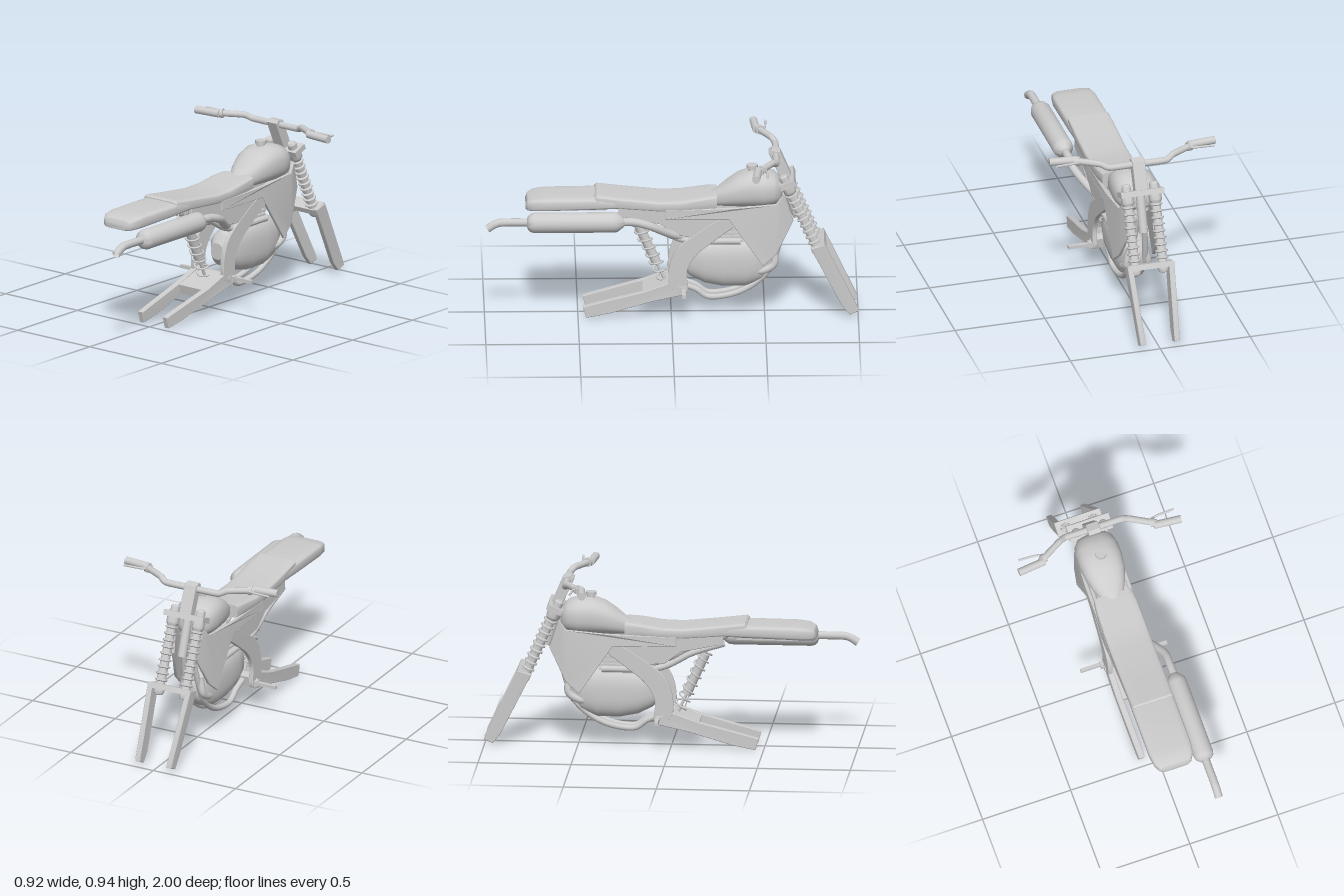
import * as THREE from 'three';
import { toCreasedNormals } from 'three/addons/utils/BufferGeometryUtils.js';

const mat = new THREE.MeshStandardMaterial({ color: 0xcccccc, side: THREE.DoubleSide });
const V = (x, y, z) => new THREE.Vector3(x, y, z);

export function createModel() {
  const model = new THREE.Group();

  const add = (name, geo, parent = model) => {
    const m = new THREE.Mesh(geo, mat);
    m.name = name;
    parent.add(m);
    return m;
  };
  const box = (name, w, h, d, x, y, z, rx = 0, parent = model) => {
    const m = add(name, new THREE.BoxGeometry(w, h, d), parent);
    m.position.set(x, y, z);
    m.rotation.x = rx;
    return m;
  };
  const tube = (name, pts, r, seg = 40, tension = 0.5, parent = model) =>
    add(name, new THREE.TubeGeometry(
      new THREE.CatmullRomCurve3(pts.map(p => V(...p)), false, 'catmullrom', tension), seg, r, 12), parent);
  // straight cylinder between two points
  const rod = (name, a, b, r1, r2 = r1, parent = model) => {
    const p = V(...a), q = V(...b);
    const m = add(name, new THREE.CylinderGeometry(r2, r1, p.distanceTo(q), 20), parent);
    m.position.copy(p).add(q).multiplyScalar(0.5);
    m.quaternion.setFromUnitVectors(V(0, 1, 0), q.sub(p).normalize());
    return m;
  };
  // side profile [z, y] extruded from x0 to x1; shift moves vertices in x by a rule
  const plate = (name, pts, x0, x1, side, shift = () => 0, curved = false) => {
    const p2 = pts.map(([z, y]) => new THREE.Vector2(-z, y));
    const outline = curved ? new THREE.CatmullRomCurve3(p2.map(p => V(p.x, p.y, 0)), true)
      .getPoints(60).map(p => new THREE.Vector2(p.x, p.y)) : p2;
    const g = new THREE.ExtrudeGeometry(new THREE.Shape(outline), {
      depth: x1 - x0 - 0.006, bevelEnabled: true, bevelSize: 0.003, bevelThickness: 0.003, bevelSegments: 1,
    });
    g.rotateY(Math.PI / 2).translate(x0 + 0.003, 0, 0);
    const a = g.attributes.position;
    for (let i = 0; i < a.count; i++) a.setX(i, a.getX(i) + shift(a.getZ(i), a.getY(i)));
    if (side < 0) {
      g.translate(-(x0 + x1), 0, 0);
      for (let i = 0; i < a.count; i++) {
        const s = shift(a.getZ(i), a.getY(i));
        a.setX(i, a.getX(i) - 2 * s);
      }
    }
    return add(name, toCreasedNormals(g, 0.5));
  };
  // superellipse rings [z, halfWidth, yBottom, yTop] joined along z
  const loft = (name, rows, power, n = 40, crease = 0.6) => {
    const pos = [], idx = [], e = 2 / power;
    const sp = v => Math.sign(v) * Math.abs(v) ** e;
    for (const [z, w, lo, hi] of rows) {
      for (let j = 0; j < n; j++) {
        const t = j / n * Math.PI * 2;
        pos.push(w * sp(Math.cos(t)), (lo + hi) / 2 + (hi - lo) / 2 * sp(Math.sin(t)), z);
      }
    }
    for (let i = 0; i < rows.length - 1; i++) for (let j = 0; j < n; j++) {
      const a = i * n + j, b = i * n + (j + 1) % n;
      idx.push(a, b, a + n, b, b + n, a + n);
    }
    const last = (rows.length - 1) * n;
    for (let j = 1; j < n - 1; j++) idx.push(0, j + 1, j, last, last + j, last + j + 1);
    const g = new THREE.BufferGeometry();
    g.setAttribute('position', new THREE.Float32BufferAttribute(pos, 3));
    g.setIndex(idx);
    return add(name, toCreasedNormals(g, crease));
  };

  // Fuel tank and filler cap
  loft('fuelTank', [[-0.595, 0.05, 0.65, 0.73], [-0.58, 0.085, 0.63, 0.765], [-0.55, 0.108, 0.62, 0.79], [-0.5, 0.12, 0.61, 0.805],
    [-0.43, 0.12, 0.61, 0.808], [-0.36, 0.11, 0.61, 0.785], [-0.3, 0.09, 0.61, 0.745],
    [-0.25, 0.065, 0.61, 0.705], [-0.2, 0.02, 0.62, 0.68]], 2.5);
  rod('fillerNeck', [0, 0.79, -0.434], [0, 0.82, -0.434], 0.022);
  rod('fillerCap', [0, 0.817, -0.434], [0, 0.835, -0.434], 0.03);

  // Seat and tail
  loft('seat', [[-0.245, 0.106, 0.615, 0.69], [-0.17, 0.115, 0.61, 0.684], [-0.05, 0.117, 0.605, 0.665], [0.06, 0.117, 0.605, 0.662],
    [0.25, 0.117, 0.62, 0.682], [0.4, 0.115, 0.635, 0.7], [0.41, 0.11, 0.64, 0.69]], 7);
  loft('tail', [[0.2, 0.115, 0.625, 0.665], [0.4, 0.118, 0.615, 0.685], [0.68, 0.118, 0.608, 0.682],
    [0.74, 0.108, 0.606, 0.675], [0.77, 0.09, 0.605, 0.66], [0.78, 0.07, 0.61, 0.64]], 5);
  box('tailUnderside', 0.08, 0.03, 0.3, 0, 0.607, 0.5);

  // Engine
  loft('engineCase', [[-0.56, 0.02, 0.27, 0.33], [-0.54, 0.05, 0.23, 0.37], [-0.48, 0.075, 0.18, 0.41],
    [-0.4, 0.085, 0.152, 0.425], [-0.28, 0.087, 0.15, 0.425], [-0.18, 0.085, 0.17, 0.42],
    [-0.1, 0.07, 0.21, 0.39], [-0.065, 0.04, 0.25, 0.34]], 2.6);
  for (let i = 0; i < 4; i++) box('coolingFin', 0.15, 0.012, 0.27, 0, 0.425 + i * 0.022, -0.25);
  box('cylinderHead', 0.12, 0.1, 0.22, 0, 0.45, -0.26);

  for (const s of [1, -1]) {
    // Arched frame plate
    plate('framePlate', [[0, 0.17], [0.01, 0.28], [-0.03, 0.39], [-0.15, 0.49], [-0.29, 0.57], [-0.37, 0.56],
      [-0.25, 0.46], [-0.13, 0.36], [-0.08, 0.27], [-0.08, 0.15]], 0.09, 0.115, s, undefined, true);
    // Shroud, drawn in toward the steering head
    plate('shroud', [[0.03, 0.615], [-0.35, 0.625], [-0.56, 0.64], [-0.6, 0.69], [-0.65, 0.54], [-0.56, 0.36],
      [-0.49, 0.3], [-0.31, 0.565], [0.03, 0.567]], 0.1, 0.118, s, z => z < -0.53 ? (z + 0.53) * 0.35 : 0);
    // Panel below the seat
    plate('sidePanel', [[0.28, 0.635], [0.1, 0.62], [-0.2, 0.6], [-0.28, 0.57], [-0.13, 0.465], [-0.03, 0.475],
      [0.06, 0.54], [0.28, 0.585]], 0.092, 0.113, s);
    tube('subframeRail', [[s * 0.095, 0.585, 0.29], [s * 0.095, 0.53, 0.12], [s * 0.09, 0.44, -0.07], [s * 0.09, 0.43, -0.37]], 0.017);
    tube('upperSpar', [[s * 0.09, 0.58, 0.1], [s * 0.09, 0.59, -0.3], [s * 0.03, 0.65, -0.61]], 0.018);
    // Cradle under the engine
    tube('cradleTube', [[s * 0.035, 0.17, -0.05], [s * 0.035, 0.14, -0.13], [s * 0.035, 0.094, -0.21], [s * 0.035, 0.125, -0.37],
      [s * 0.04, 0.22, -0.5], [s * 0.04, 0.34, -0.56], [s * 0.02, 0.58, -0.62]], 0.016);
    tube('headerPipe', [[s * 0.045, 0.25, -0.43], [s * 0.06, 0.25, -0.49], [s * 0.06, 0.29, -0.55], [s * 0.045, 0.37, -0.55]], 0.02);

    // Swingarm leg
    plate('swingarmLeg', [[0.47, 0.06], [0.455, 0.004], [0.33, 0.03], [0.1, 0.1], [-0.06, 0.135], [-0.07, 0.19],
      [-0.02, 0.21], [0.14, 0.15], [0.42, 0.075]], 0.082, 0.115, s, z => z > 0.1 ? -(z - 0.1) * 0.035 : 0);
    box('pegBracket', 0.03, 0.03, 0.035, s * 0.12, 0.168, -0.06);
    box('footPeg', 0.135, 0.018, 0.02, s * 0.178, 0.17, -0.065);

    // Fork: lower leg, sleeve with ribs and cap
    plate('forkLowerLeg', [[-0.75, 0.396], [-0.818, 0.417], [-0.995, 0.05], [-0.998, 0.035], [-0.955, 0.016], [-0.915, 0.065]],
      0.1, 0.13, s, z => z < -0.9 ? -0.02 : 0);
    const leg = new THREE.Group();
    leg.name = 'forkTube';
    leg.position.set(s * 0.077, 0.38, -0.785);
    leg.rotation.x = 0.425;
    model.add(leg);
    const prof = [[0, -0.035], [0.022, -0.03], [0.03, -0.015], [0.03, 0.01]];
    for (let i = 0; i < 9; i++) {
      const y = 0.035 + i * 0.036;
      prof.push([0.025, y - 0.012], [0.025, y + 0.006], [0.035, y + 0.01], [0.035, y + 0.017], [0.025, y + 0.021]);
    }
    prof.push([0.035, 0.36], [0.035, 0.4], [0.025, 0.405], [0.025, 0.45], [0.018, 0.46], [0, 0.46]);
    add('ribbedSleeve', toCreasedNormals(new THREE.LatheGeometry(prof.map(p => new THREE.Vector2(...p)), 24), 0.6), leg);

    // Grip, clamp and lever
    rod('grip', [s * 0.31, 0.917, -0.462], [s * 0.46, 0.917, -0.447], 0.021);
    rod('leverClamp', [s * 0.3, 0.917, -0.482], [s * 0.32, 0.917, -0.475], 0.025);
    tube('lever', [[s * 0.3, 0.92, -0.485], [s * 0.33, 0.92, -0.505], [s * 0.44, 0.92, -0.512]], 0.006, 16);
  }

  // Swingarm bridge and pivot
  plate('swingarmBridge', [[0.15, 0.142], [0.14, 0.095], [-0.05, 0.137], [-0.06, 0.19], [-0.02, 0.2]], -0.09, 0.09, 1);
  rod('swingarmPivot', [-0.12, 0.17, -0.04], [0.12, 0.17, -0.04], 0.018);

  // Fork clamps, steering stem and handlebar
  box('lowerClamp', 0.25, 0.03, 0.08, 0, 0.395, -0.788, 0.425);
  box('upperClamp', 0.24, 0.03, 0.085, 0, 0.755, -0.622, 0.425);
  rod('steeringStem', [0, 0.54, -0.675], [0, 0.76, -0.6], 0.024);
  plate('handlebarStem', [[-0.525, 0.91], [-0.54, 0.925], [-0.58, 0.918], [-0.65, 0.755], [-0.6, 0.745]], -0.035, 0.035, 1);
  tube('handlebar', [[-0.33, 0.917, -0.472], [-0.29, 0.917, -0.49], [-0.2, 0.915, -0.54], [-0.155, 0.898, -0.56], [0, 0.897, -0.56],
    [0.155, 0.898, -0.56], [0.2, 0.915, -0.54], [0.29, 0.917, -0.49], [0.33, 0.917, -0.472]], 0.018, 80, 0.3);

  // Rear shock with its coil spring
  const shock = new THREE.Group();
  shock.name = 'rearShock';
  shock.position.set(0, 0.195, 0.04);
  shock.rotation.x = 0.425;
  model.add(shock);
  rod('shockRod', [0, -0.03, 0], [0, 0.44, 0], 0.008, 0.008, shock);
  rod('shockBody', [0, 0.09, 0], [0, 0.34, 0], 0.026, 0.026, shock);
  const coil = [];
  for (let i = 0; i <= 108; i++) {
    const t = i / 12 * Math.PI * 2;
    coil.push([0.034 * Math.cos(t), i / 108 * 0.43, 0.034 * Math.sin(t)]);
  }
  tube('coilSpring', coil, 0.005, 220, 0.5, shock);
  box('shockMount', 0.18, 0.03, 0.04, 0, 0.6, 0.23);

  // Exhaust on the left side
  tube('exhaustPipe', [[0.04, 0.425, -0.13], [0.11, 0.48, 0], [0.165, 0.545, 0.11], [0.17, 0.572, 0.2], [0.17, 0.573, 0.3]], 0.022);
  const muffler = [[0.02, 0.25], [0.03, 0.262], [0.052, 0.29], [0.055, 0.31], [0.055, 0.735], [0.05, 0.755], [0.035, 0.77], [0.02, 0.775]];
  const can = add('muffler', toCreasedNormals(new THREE.LatheGeometry(muffler.map(p => new THREE.Vector2(...p)), 32), 0.6));
  can.rotation.x = Math.PI / 2;
  can.position.set(0.17, 0.572, 0);
  tube('tailPipe', [[0.17, 0.575, 0.75], [0.17, 0.575, 0.9], [0.17, 0.565, 0.945], [0.17, 0.54, 0.985]], 0.022);

  return model;
}
